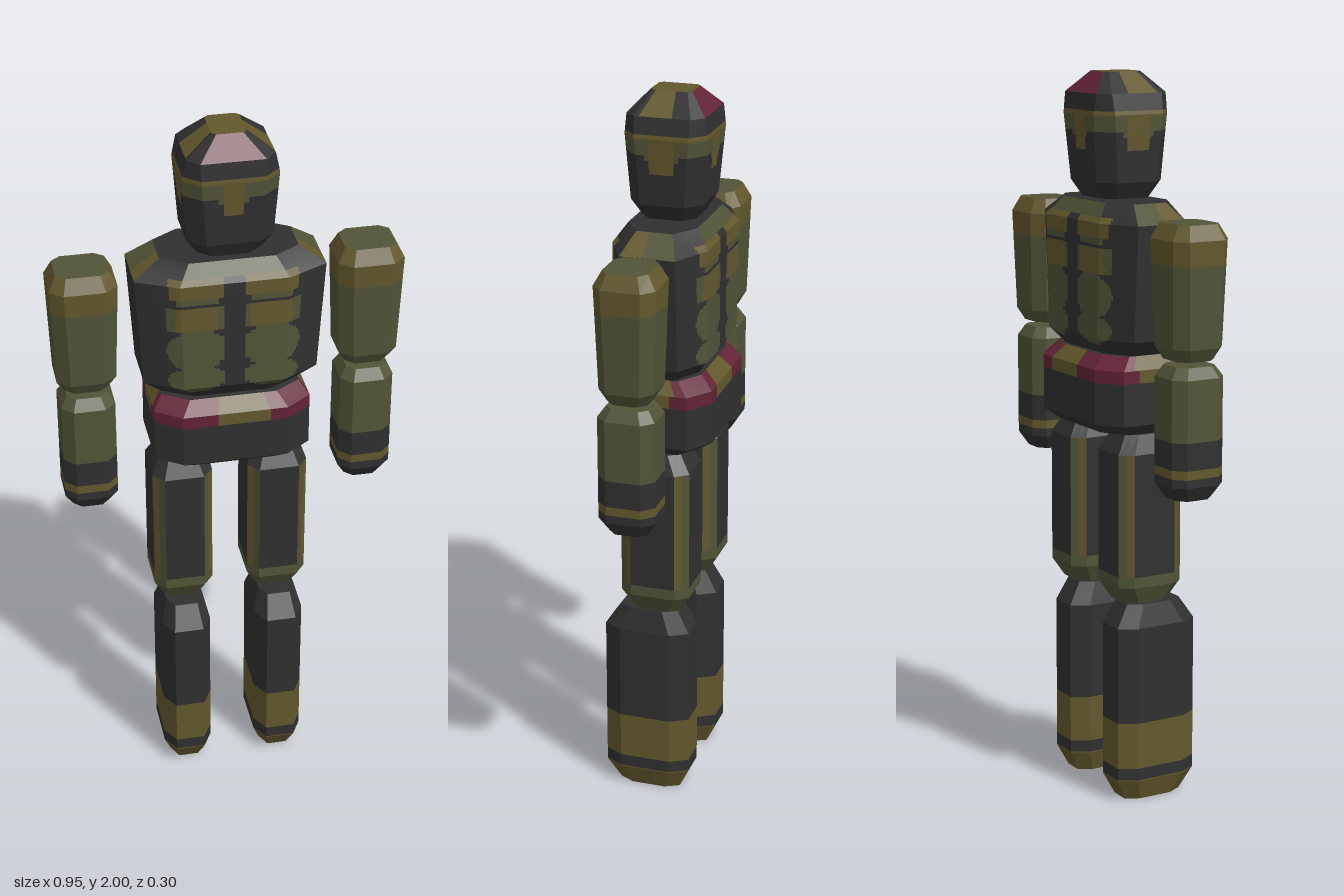
import * as THREE from 'three';

const paint = (name, hex) => {
  const m = new THREE.MeshStandardMaterial({ color: hex });
  m.name = name;
  return m;
};

// Stack of octagonal rings [y, halfWidth, zFront, zBack, chamferX, chamferZ].
// Sides: 0 front, 2 left, 4 back, 6 right, odd = chamfers; 8 top cap, 9 bottom cap.
// colourAt(x, y, z, side) gives a material index for every cell.
function loft(name, materials, rings, colourAt, { cuts = [], cols = 1, rows = 0 } = {}) {
  const top = rings[rings.length - 1][0], bottom = rings[0][0];
  const ys = new Set([...rings.map((r) => r[0]), ...cuts]);
  for (let i = 1; i < rows; i++) ys.add(bottom + ((top - bottom) * i) / rows);
  const levels = [...ys].sort((a, b) => a - b);

  const outline = (y) => {
    let k = 0;
    while (k < rings.length - 2 && y > rings[k + 1][0]) k++;
    const t = (y - rings[k][0]) / (rings[k + 1][0] - rings[k][0]);
    const [, w, f, b, cx, cz] = rings[k].map((v, i) => v + (rings[k + 1][i] - v) * t);
    const corners = [[cx - w, f], [w - cx, f], [w, f - cz], [w, b + cz],
      [w - cx, b], [cx - w, b], [-w, b + cz], [-w, f - cz]];
    const pts = [];
    corners.forEach(([x, z], i) => {
      const [x2, z2] = corners[(i + 1) % 8];
      for (let c = 0; c < cols; c++) {
        pts.push([x + ((x2 - x) * c) / cols, y, z + ((z2 - z) * c) / cols]);
      }
    });
    return pts;
  };

  const buckets = materials.map(() => []);
  const n = 8 * cols;
  for (let l = 0; l < levels.length - 1; l++) {
    const lo = outline(levels[l]), hi = outline(levels[l + 1]);
    for (let i = 0; i < n; i++) {
      const j = (i + 1) % n;
      const a = lo[i], b = lo[j], c = hi[j], d = hi[i];
      const [x, y, z] = a.map((v, k) => (v + b[k] + c[k] + d[k]) / 4);
      buckets[colourAt(x, y, z, Math.floor(i / cols), i % cols)].push(...a, ...b, ...c, ...a, ...c, ...d);
    }
  }
  const capTop = outline(top), capLow = outline(bottom);
  for (let i = 0; i < n; i++) {
    const j = (i + 1) % n;
    const zt = (rings[rings.length - 1][2] + rings[rings.length - 1][3]) / 2;
    const zb = (rings[0][2] + rings[0][3]) / 2;
    buckets[colourAt(0, top, zt, 8)].push(0, top, zt, ...capTop[i], ...capTop[j]);
    buckets[colourAt(0, bottom, zb, 9)].push(0, bottom, zb, ...capLow[j], ...capLow[i]);
  }

  const geo = new THREE.BufferGeometry();
  let start = 0;
  buckets.forEach((b, i) => {
    if (b.length) geo.addGroup(start, b.length / 3, i);
    start += b.length / 3;
  });
  geo.setAttribute('position', new THREE.Float32BufferAttribute(buckets.flat(), 3));
  geo.computeVertexNormals();
  const mesh = new THREE.Mesh(geo, materials);
  mesh.name = name;
  return mesh;
}

export function createModel() {
  const model = new THREE.Group();
  model.name = 'figure';
  const materials = [paint('charcoal', 0x303030), paint('olive', 0x515437),
    paint('mustard', 0x63582d), paint('crimson', 0x632336)];
  const [DARK, OLIVE, MUSTARD, RED] = [0, 1, 2, 3];
  const add = (name, rings, colourAt, options) => {
    const mesh = loft(name, materials, rings, colourAt, options);
    model.add(mesh);
    return mesh;
  };

  // Head with a crested cap and a visor band that dips on every side
  add('head', [
    [1.665, 0.085, 0.075, -0.075, 0.035, 0.03],
    [1.71, 0.115, 0.1, -0.1, 0.045, 0.04],
    [1.89, 0.127, 0.112, -0.115, 0.045, 0.04],
    [1.945, 0.115, 0.105, -0.108, 0.03, 0.03],
    [2.0, 0.045, 0.055, -0.058, 0.01, 0.01],
  ], (x, y, z, s) => {
    if (s === 8) return MUSTARD;
    if (y > 1.945) {
      if (s === 0 || s === 4) return RED;
      return (s === 2 || s === 6) && z > -0.025 && z < 0.05 ? MUSTARD : DARK;
    }
    const across = s % 4 === 0 ? Math.abs(x) : Math.abs(z);
    if (s % 2 === 0 && across < 0.032 && y > 1.795 && y < 1.9) return MUSTARD;
    if (y > 1.845 && y < 1.9) return y > 1.885 ? MUSTARD : OLIVE;
    return s % 2 === 0 && across < 0.045 && y > 1.83 && y < 1.9 ? OLIVE : DARK;
  }, { cols: 12, cuts: [1.795, 1.83, 1.845, 1.885, 1.9] });

  // Neck
  add('neck', [[1.6, 0.06, 0.045, -0.045, 0.02, 0.02], [1.69, 0.06, 0.045, -0.045, 0.02, 0.02]], () => DARK);

  // Chest with two columns of armour patches, front and back
  add('torso', [
    [1.25, 0.18, 0.09, -0.095, 0.08, 0.045],
    [1.3, 0.235, 0.127, -0.135, 0.1, 0.055],
    [1.61, 0.255, 0.127, -0.135, 0.11, 0.055],
    [1.66, 0.185, 0.092, -0.098, 0.07, 0.045],
  ], (x, y, z, s) => {
    if (s > 7) return DARK;
    if (s === 2 || s === 6) {
      if (y < 1.61) return DARK;
      return z > 0.01 && z < 0.06 ? MUSTARD : OLIVE;
    }
    const u = Math.abs(Math.abs(x) - 0.1);
    if (y > 1.625) return s % 4 === 0 ? OLIVE : DARK;
    if (y > 1.57) return u < 0.072 ? MUSTARD : DARK;
    if (y > 1.475 && y < 1.545) return u < 0.055 ? MUSTARD : u < 0.078 ? OLIVE : DARK;
    if (y > 1.55 && u < 0.055) return OLIVE;
    const blob = (cy, w, h) => (u / w) ** 2 + ((y - cy) / h) ** 2 < 1;
    return blob(1.415, 0.078, 0.066) || blob(1.325, 0.075, 0.042) ? OLIVE : DARK;
  }, { cols: 20, rows: 50, cuts: [1.475, 1.545, 1.57, 1.625] });

  // Hips with a two-tone belt
  add('hips', [
    [1.04, 0.18, 0.105, -0.11, 0.07, 0.045],
    [1.07, 0.213, 0.143, -0.148, 0.07, 0.05],
    [1.22, 0.213, 0.143, -0.148, 0.07, 0.05],
    [1.255, 0.188, 0.11, -0.112, 0.07, 0.045],
  ], (x, y, z, s) => {
    if (s > 7 || y < 1.185) return DARK;
    const middle = s % 4 === 0 ? Math.abs(x - 0.02) < 0.065 : s % 2 === 0 && Math.abs(z) < 0.05;
    return middle ? MUSTARD : RED;
  }, { cols: 12, cuts: [1.185] });

  for (const side of [1, -1]) {
    const label = side > 0 ? 'left' : 'right';

    // Upper arm
    add(label + 'UpperArm', [
      [1.275, 0.06, 0.05, -0.06, 0.025, 0.025],
      [1.31, 0.08, 0.07, -0.08, 0.035, 0.03],
      [1.59, 0.09, 0.078, -0.088, 0.035, 0.03],
      [1.63, 0.07, 0.056, -0.066, 0.025, 0.02],
    ], (x, y, z, s) => (s < 8 && y > 1.525 ? MUSTARD : OLIVE), { cuts: [1.525] }).position.x = side * 0.384;

    // Forearm and glove
    add(label + 'Forearm', [
      [0.905, 0.05, 0.05, -0.055, 0.022, 0.022],
      [0.945, 0.073, 0.076, -0.08, 0.03, 0.03],
      [1.23, 0.073, 0.076, -0.08, 0.03, 0.03],
      [1.26, 0.055, 0.055, -0.06, 0.022, 0.022],
    ], (x, y) => {
      if (y > 1.065) return OLIVE;
      return y > 0.968 && y < 0.992 ? MUSTARD : DARK;
    }, { cuts: [0.968, 0.992, 1.065] }).position.x = side * 0.383;

    // Thigh with piping along its chamfers and a knee band
    add(label + 'Thigh', [
      [0.57, 0.06, 0.065, -0.07, 0.022, 0.03],
      [0.62, 0.083, 0.095, -0.1, 0.028, 0.035],
      [0.99, 0.083, 0.095, -0.1, 0.028, 0.035],
      [1.04, 0.06, 0.065, -0.07, 0.022, 0.03],
    ], (x, y, z, s, c) => {
      if (y < 0.65) return OLIVE;
      if (s > 7 || s % 2 === 0 || y > 0.99) return DARK;
      return (s === 1 || s === 5) === (c === 1) ? MUSTARD : OLIVE;
    }, { cols: 2, cuts: [0.65] }).position.x = side * 0.133;

    // Shin and boot
    add(label + 'Shin', [
      [0, 0.048, 0.11, -0.065, 0.02, 0.04],
      [0.06, 0.069, 0.148, -0.095, 0.028, 0.05],
      [0.5, 0.069, 0.148, -0.095, 0.028, 0.05],
      [0.563, 0.052, 0.105, -0.06, 0.02, 0.04],
    ], (x, y, z, s) => {
      if (s === 9 || y > 0.228) return DARK;
      return y > 0.063 && y < 0.097 ? DARK : MUSTARD;
    }, { cuts: [0.063, 0.097, 0.228] }).position.x = side * 0.134;
  }

  return model;
}
